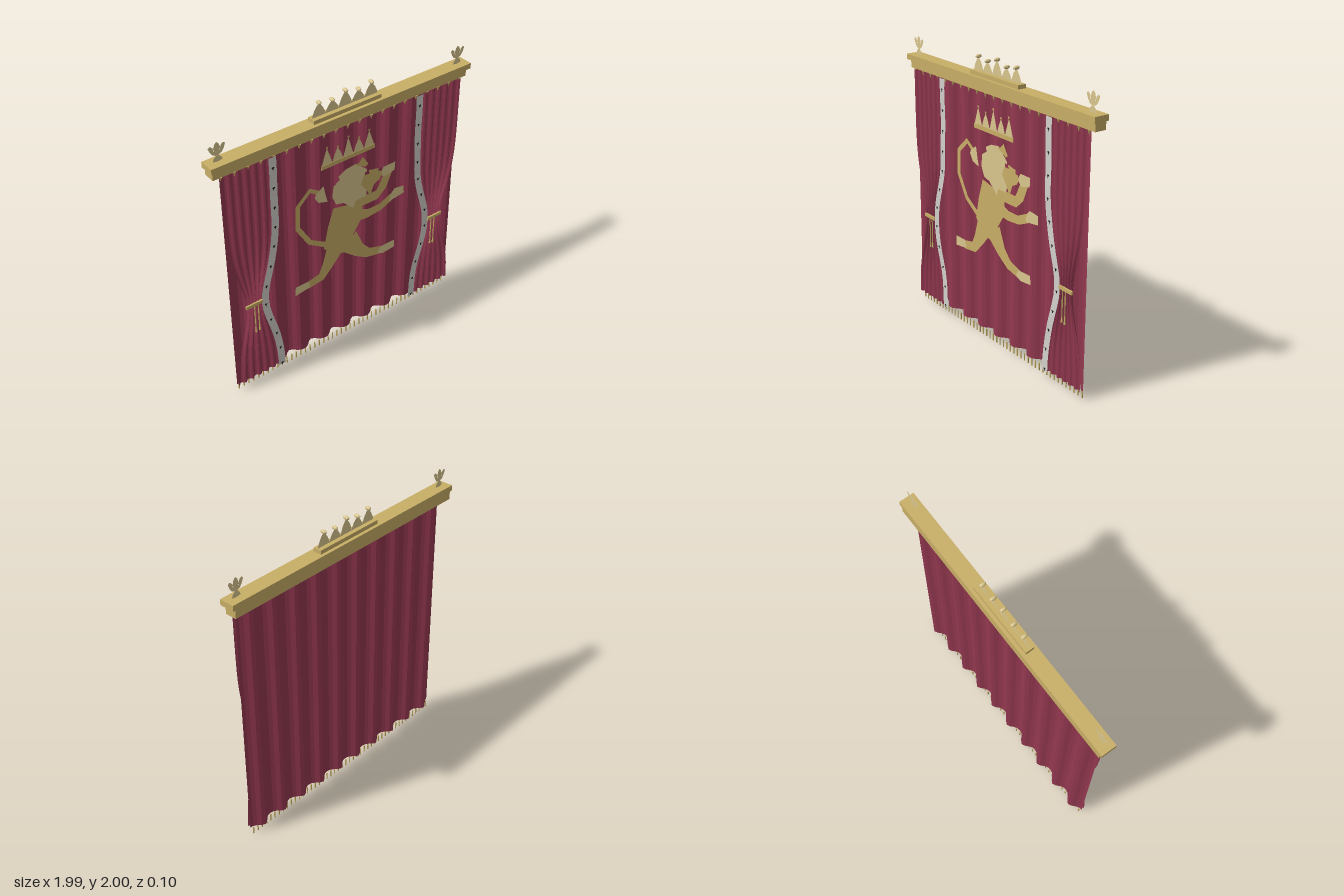
import * as THREE from 'three';

export function createModel() {
  const root = new THREE.Group();
  const mat = (name, color) => {
    const m = new THREE.MeshStandardMaterial({ color, side: THREE.DoubleSide, flatShading: true });
    m.name = name;
    return m;
  };
  const crimson = mat('crimson', 0x943850);
  const gold = mat('gold', 0xc8ae66);
  const pale = mat('paleGold', 0xdac68d);
  const white = mat('furWhite', 0xd2d0cb);
  const black = mat('black', 0x1c1a1c);

  const add = (name, geo, material, x = 0, y = 0, z = 0, parent = root) => {
    const m = new THREE.Mesh(geo, material);
    m.name = name;
    m.position.set(x, y, z);
    parent.add(m);
    return m;
  };
  const box = (name, w, h, d, material, x, y, z) => add(name, new THREE.BoxGeometry(w, h, d), material, x, y, z);
  // Flat polygon facing +z
  const poly = (pts) => new THREE.ShapeGeometry(new THREE.Shape(pts.map(([x, y]) => new THREE.Vector2(x, y))));
  // Polygon that follows a path of [x, y, width]
  const strip = (path) => {
    const a = [], b = [];
    path.forEach(([x, y, w], i) => {
      const p = path[Math.max(i - 1, 0)], n = path[Math.min(i + 1, path.length - 1)];
      const dx = n[0] - p[0], dy = n[1] - p[1], k = w / 2 / Math.hypot(dx, dy);
      a.push([x - dy * k, y + dx * k]);
      b.unshift([x + dy * k, y - dx * k]);
    });
    return poly([...a, ...b]);
  };
  // Cloth sheet: a plane grid moved by a rule, u and v run 0..1
  const sheet = (nx, ny, rule) => {
    const g = new THREE.PlaneGeometry(1, 1, nx, ny), p = g.attributes.position;
    for (let i = 0; i < p.count; i++) p.setXYZ(i, ...rule(p.getX(i) + 0.5, p.getY(i) + 0.5));
    g.computeVertexNormals();
    return g;
  };
  const TOP = 1.755, BOTTOM = 0.055;
  const yAt = (v) => BOTTOM + (TOP - BOTTOM) * v;

  // Backcloth with ten broad folds
  add('backcloth', sheet(80, 1, (u, v) => {
    const a = u * Math.PI * 20;
    return [(u - 0.5) * 1.85, yAt(v), -0.008 + 0.026 * Math.cos(a) - 0.004 * Math.cos(2 * a)];
  }), crimson);

  // Cornice
  box('corniceTop', 1.985, 0.038, 0.105, gold, 0, 1.832, 0);
  box('corniceFascia', 1.95, 0.06, 0.08, gold, 0, 1.785, -0.01);
  box('crestBase', 0.515, 0.028, 0.06, gold, 0, 1.864, 0);

  // Crest of five domed points with beads
  [1.967, 1.952, 1.98, 1.952, 1.967].forEach((top, i) => {
    const x = (i - 2) * 0.1, b = 1.875, h = top - b;
    const side = [[0.052, 0], [0.044, 0.3], [0.032, 0.58], [0.016, 0.82]];
    const right = side.map(([w, t]) => [w, b + h * t]);
    const left = side.map(([w, t]) => [-w, b + h * t]).reverse();
    add('crestPoint', poly([...right, [0, top], ...left]), pale, x, 0, 0);
    const bead = add('crestBead', new THREE.SphereGeometry(0.013, 8, 6), pale, x, top + 0.005, 0);
    bead.scale.z = 1.9;
  });

  // Flower finials at both ends
  for (const s of [-1, 1]) {
    const finial = new THREE.Group();
    finial.name = 'finial';
    finial.position.set(s * 0.915, 1.85, 0);
    root.add(finial);
    add('finialCentrePetal', poly([[0, 0.035], [0.014, 0.06], [0.023, 0.09], [0.014, 0.118], [0, 0.132], [-0.014, 0.118], [-0.023, 0.09], [-0.014, 0.06]]), pale, 0, 0, 0, finial);
    for (const t of [-1, 1]) {
      const petal = [[0.005, 0.04], [0.03, 0.052], [0.046, 0.075], [0.058, 0.105], [0.044, 0.116], [0.026, 0.1], [0.022, 0.075], [0.005, 0.06]];
      add('finialSidePetal', poly(petal.map(([x, y]) => [t * x, y])), pale, 0, 0, 0, finial);
    }
    add('finialFoot', poly([[-0.033, 0.006], [0, 0], [0.033, 0.006], [0.026, 0.026], [0.01, 0.04], [-0.01, 0.04], [-0.026, 0.026]]), pale, 0, 0, 0.001, finial);
  }

  // Small drops below the cornice
  for (let i = 0; i < 21; i++) {
    add('corniceDrop', new THREE.ConeGeometry(0.011, 0.036, 6).rotateX(Math.PI), gold, (i - 10) * 0.092, 1.74, 0.026);
  }

  // Bottom fringe
  for (let i = 0; i < 47; i++) {
    add('fringeStrand', new THREE.CylinderGeometry(0.005, 0.005, 0.055, 6), gold, (i - 23) * 0.0394, 0.0275, 0.004);
  }

  // Gathered side drapes with fur trim, spots, tie and tassels
  const pinch = (y) => Math.exp(-(((y - 0.69) / 0.31) ** 2));
  const inner = (y) => 0.545 + 0.105 * pinch(y);
  const trimZ = (y) => 0.039 + 0.002 * Math.sin(y * 16);
  for (const s of [-1, 1]) {
    const dir = (u) => (s > 0 ? u : 1 - u);
    add('sideDrape', sheet(36, 24, (u, v) => {
      const t = dir(u), y = yAt(v), a = inner(y) + 0.03, b = 0.925 - 0.11 * pinch(y);
      return [s * (a + (b - a) * t), y, 0.026 + 0.01 * Math.cos(t * Math.PI * 12)];
    }), crimson);
    add('furTrim', sheet(1, 24, (u, v) => {
      const y = yAt(v);
      return [s * (inner(y) + 0.055 * dir(u)), y, trimZ(y)];
    }), white);
    for (let i = 0; i < 12; i++) {
      const y = 0.065 + i * 0.1465;
      add('furSpot', poly([[0, -0.014], [0.005, 0], [0.011, 0.008], [0, 0.012], [-0.011, 0.008], [-0.005, 0]]), black,
        s * (inner(y) + 0.0275), y, trimZ(y) + 0.002);
    }
    box('tieBand', 0.125, 0.024, 0.012, gold, s * 0.763, 0.7, 0.038);
    for (const x of [0.735, 0.763]) {
      const end = x < 0.75 ? 0.47 : 0.465;
      add('tieCord', new THREE.CylinderGeometry(0.004, 0.004, 0.69 - end, 6), gold, s * x, (0.69 + end) / 2, 0.04);
      add('tieTassel', new THREE.CylinderGeometry(0.004, 0.008, 0.035, 6), gold, s * x, end + 0.0175, 0.04);
    }
  }

  // Emblem crown
  box('emblemCrownBand', 0.425, 0.03, 0.004, gold, 0, 1.515, 0.03);
  [1.648, 1.625, 1.665, 1.625, 1.648].forEach((top, i) => {
    const x = (i - 2) * 0.083;
    add('emblemCrownPoint', poly([[-0.041, 1.53], [0.041, 1.53], [0.026, 1.575], [0, top], [-0.026, 1.575]]), pale, x, 0, 0.03);
    add('emblemCrownBead', new THREE.CircleGeometry(0.009, 8), gold, x, top + 0.003, 0.031);
  });

  // Rampant lion, in thin layers
  const lion = new THREE.Group();
  lion.name = 'lion';
  lion.position.z = 0.028;
  root.add(lion);
  const part = (name, geo, material, layer) => add(name, geo, material, 0, 0, layer * 0.0012, lion);
  part('lionTail', strip([[-0.17, 0.89, 0.04], [-0.31, 0.98, 0.036], [-0.40, 1.13, 0.036], [-0.395, 1.3, 0.036], [-0.3, 1.385, 0.036], [-0.22, 1.33, 0.034]]), gold, 0);
  part('lionTailTuft', poly([[-0.255, 1.335], [-0.195, 1.375], [-0.18, 1.3], [-0.165, 1.24], [-0.235, 1.262], [-0.265, 1.31]]), pale, 1);
  part('lionBody', poly([[-0.12, 1.165], [0.05, 1.13], [0.12, 1.08], [0.115, 0.98], [0.04, 0.87], [0.09, 0.79], [-0.03, 0.755], [-0.12, 0.79], [-0.2, 0.87], [-0.165, 1.03]]), gold, 1);
  part('lionHindLeg', strip([[-0.09, 0.86, 0.17], [-0.17, 0.72, 0.10], [-0.225, 0.645, 0.075], [-0.34, 0.627, 0.06]]), gold, 2);
  part('lionHindPaw', poly([[-0.435, 0.662], [-0.33, 0.662], [-0.32, 0.605], [-0.44, 0.59]]), pale, 3);
  part('lionHindLeg', strip([[0.0, 0.84, 0.17], [0.09, 0.72, 0.10], [0.17, 0.655, 0.075], [0.3, 0.62, 0.06]]), gold, 2);
  part('lionHindPaw', poly([[0.28, 0.655], [0.40, 0.657], [0.405, 0.595], [0.3, 0.585], [0.25, 0.61]]), pale, 3);
  part('lionLowerArm', strip([[0.04, 1.03, 0.1], [0.16, 0.995, 0.07], [0.27, 1.0, 0.06], [0.385, 1.05, 0.06]]), gold, 2);
  part('lionFrontPaw', poly([[0.36, 1.07], [0.39, 1.1], [0.47, 1.09], [0.475, 1.03], [0.41, 1.02], [0.345, 1.015]]), pale, 3);
  part('lionUpperArm', strip([[0.03, 1.12, 0.08], [0.24, 1.115, 0.075], [0.285, 1.16, 0.075], [0.335, 1.27, 0.07]]), gold, 2);
  part('lionFrontPaw', poly([[0.26, 1.27], [0.29, 1.318], [0.39, 1.318], [0.385, 1.255], [0.3, 1.235]]), pale, 3);
  part('lionMane', poly([[-0.12, 1.34], [-0.13, 1.26], [-0.1, 1.19], [-0.04, 1.175], [0.04, 1.1], [0.06, 1.15], [0.145, 1.15], [0.16, 1.25], [0.15, 1.36], [0.06, 1.44], [-0.02, 1.43], [-0.08, 1.4], [-0.07, 1.37]]), pale, 4);
  part('lionEar', poly([[0.05, 1.43], [0.08, 1.435], [0.115, 1.47], [0.16, 1.4], [0.14, 1.385]]), gold, 5);
  part('lionFace', poly([[0.1, 1.26], [0.13, 1.33], [0.17, 1.345], [0.26, 1.325], [0.275, 1.27], [0.255, 1.235], [0.21, 1.215], [0.18, 1.14], [0.145, 1.2]]), gold, 5);
  part('lionEye', poly([[0.13, 1.322], [0.17, 1.318], [0.165, 1.345], [0.135, 1.345]]), crimson, 6);
  part('lionMouth', poly([[0.245, 1.305], [0.275, 1.3], [0.27, 1.33], [0.245, 1.325]]), crimson, 6);

  return root;
}
